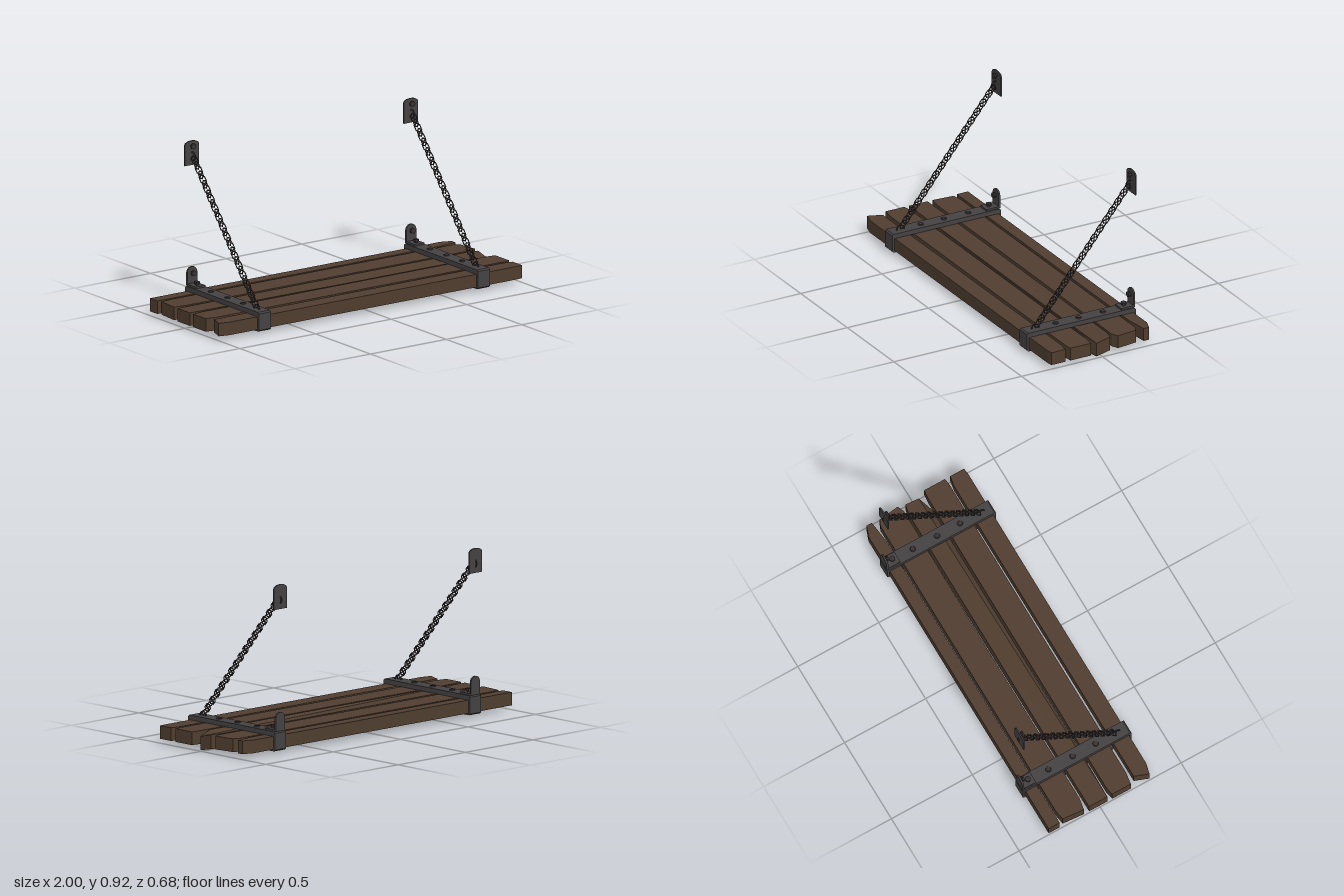
import * as THREE from 'three';

const wood = new THREE.MeshStandardMaterial({ color: 0x4f3d2f, flatShading: true });
const metal = new THREE.MeshStandardMaterial({ color: 0x444142, flatShading: true });
const iron = new THREE.MeshStandardMaterial({ color: 0x3a3335, flatShading: true });

function add(parent, name, geometry, material, x = 0, y = 0, z = 0) {
  const mesh = new THREE.Mesh(geometry, material);
  mesh.name = name;
  mesh.position.set(x, y, z);
  parent.add(mesh);
  return mesh;
}

// Extrudes an [x, z] outline upward from y0 to y1
function slab(outline, y0, y1) {
  const shape = new THREE.Shape(outline.map(([x, z]) => new THREE.Vector2(x, -z)));
  return new THREE.ExtrudeGeometry(shape, { depth: y1 - y0, bevelEnabled: false })
    .rotateX(-Math.PI / 2).translate(0, y0, 0);
}

// Upright plate with an arched top, facing +z
function archPlate(width, y0, ySide, yTop, depth) {
  const h = width / 2, s = new THREE.Shape();
  s.moveTo(-h, y0);
  s.lineTo(h, y0);
  s.lineTo(h, ySide);
  for (let i = 1; i <= 6; i++) {
    const a = (i / 6) * Math.PI;
    s.lineTo(h * Math.cos(a), ySide + (yTop - ySide) * Math.sin(a));
  }
  return new THREE.ExtrudeGeometry(s, { depth, bevelEnabled: false });
}

// Bolt: washer-like shank and wider head, pointing up or toward +z
function bolt(parent, x, y, z, forward) {
  const g = new THREE.Group();
  g.name = 'bolt';
  add(g, 'boltShank', new THREE.CylinderGeometry(0.01, 0.01, 0.01, 8), iron, 0, 0.005, 0);
  add(g, 'boltHead', new THREE.CylinderGeometry(0.016, 0.016, 0.011, 8), iron, 0, 0.0135, 0);
  g.position.set(x, y, z);
  if (forward) g.rotation.x = Math.PI / 2;
  parent.add(g);
}

// Closed band around the planks, with softened corners
function strapGeometry() {
  const s = new THREE.Shape();
  const pts = [[-0.327, 0.015], [0.327, 0.015], [0.335, 0.023], [0.335, 0.114],
    [0.327, 0.122], [-0.327, 0.122], [-0.335, 0.114], [-0.335, 0.023]];
  s.setFromPoints(pts.map(([z, y]) => new THREE.Vector2(-z, y)).reverse());
  const hole = [[-0.322, 0.025], [-0.322, 0.096], [0.322, 0.096], [0.322, 0.025]];
  s.holes.push(new THREE.Path(hole.map(([z, y]) => new THREE.Vector2(-z, y))));
  return new THREE.ExtrudeGeometry(s, { depth: 0.08, bevelEnabled: false })
    .translate(0, 0, -0.04).rotateY(Math.PI / 2);
}

// Chain from the strap up to the wall plate, links turned alternately
function chain(parent) {
  const start = new THREE.Vector3(0, 0.122, 0.262), end = new THREE.Vector3(0, 0.837, -0.32);
  const group = new THREE.Group();
  group.name = 'chain';
  parent.add(group);
  const along = end.clone().sub(start).normalize();
  const side = new THREE.Vector3(1, 0, 0);
  const across = new THREE.Vector3().crossVectors(side, along);
  const flat = new THREE.Matrix4().makeBasis(along, across, side.clone());
  const turned = new THREE.Matrix4().makeBasis(along, side, across.clone().negate());
  const linkA = new THREE.TorusGeometry(0.021, 0.004, 4, 6).scale(1.08, 1, 1);
  const linkB = new THREE.TorusGeometry(0.021, 0.004, 4, 6).scale(1.3, 1, 1);
  const first = new THREE.Vector3(0, 0.17, 0.226), last = new THREE.Vector3(0, 0.795, -0.283);
  for (let i = -1; i <= 29; i++) {
    const p = first.clone().lerp(last, i / 28);
    const isFlat = i % 2 === 0;
    const link = add(group, 'chainLink', isFlat ? linkA : linkB, iron, p.x, p.y, p.z);
    link.quaternion.setFromRotationMatrix(isFlat ? flat : turned);
  }
  for (const p of [start, end]) {
    const ring = add(group, 'anchorRing', new THREE.TorusGeometry(0.023, 0.004, 5, 14), iron, p.x, p.y, p.z);
    ring.rotation.y = Math.PI / 2;
  }
}

function hanger(x) {
  const g = new THREE.Group();
  g.name = 'hanger';
  g.position.x = x;
  add(g, 'strap', strapGeometry(), metal);
  for (const z of [0.137, -0.005, -0.155]) {
    add(g, 'rivet', new THREE.CylinderGeometry(0.014, 0.017, 0.007, 8), iron, 0, 0.1245, z);
  }
  // Rear angle bracket
  add(g, 'bracketFoot', new THREE.BoxGeometry(0.066, 0.01, 0.085), metal, 0, 0.127, -0.2925);
  add(g, 'bracketPlate', archPlate(0.066, 0.122, 0.195, 0.225, 0.01), metal, 0, 0, -0.335);
  bolt(g, 0, 0.132, -0.282, false);
  bolt(g, 0, 0.19, -0.325, true);
  // Wall plate
  add(g, 'wallPlate', archPlate(0.095, 0.787, 0.9, 0.922, 0.008), metal, 0, 0, -0.336);
  bolt(g, 0, 0.893, -0.328, true);
  chain(g);
  return g;
}

export function createModel() {
  const model = new THREE.Group();
  model.name = 'hangingBench';

  // Planks, front to back, with uneven ends as [x, z] outlines
  const outlines = [
    [[-1, 0.305], [-0.94, 0.32], [0.97, 0.32], [1, 0.315], [1, 0.23], [0.94, 0.22], [-0.97, 0.225]],
    [[-1, 0.19], [-0.93, 0.2], [0.96, 0.203], [1, 0.198], [1, 0.07], [0.95, 0.065], [-0.95, 0.065], [-1, 0.075]],
    [[-1, 0.045], [-0.7, 0.05], [0, 0.052], [0.88, 0.052], [0.98, 0.025], [0.98, -0.058], [0.92, -0.07],
      [0, -0.07], [-0.7, -0.07], [-1, -0.068]],
    [[-1, -0.1], [-0.93, -0.088], [0, -0.09], [0.95, -0.083], [0.99, -0.1], [0.975, -0.22], [0.94, -0.235],
      [-0.93, -0.235], [-0.99, -0.225]],
    [[-1, -0.25], [0.85, -0.25], [0.98, -0.265], [0.98, -0.298], [0.92, -0.32], [-1, -0.318]],
  ];
  outlines.forEach((outline, i) => {
    const geometry = slab(outline, 0.024, 0.096);
    if (i === 2) {
      // The middle plank sags below the rest and dips at its cut corner
      const p = geometry.attributes.position;
      for (let k = 0; k < p.count; k++) {
        const x = p.getX(k), z = p.getZ(k);
        if (p.getY(k) < 0.05) {
          p.setY(k, 0.024 - 0.024 * THREE.MathUtils.clamp((x + 0.7) / 0.7, 0, 1) + (x > 0.9 && z < 0 ? 0.018 : 0));
        } else if (x > 0.9 && z > 0) p.setY(k, 0.076);
      }
      geometry.computeVertexNormals();
    }
    add(model, 'plank', geometry, wood);
  });

  for (const x of [-0.715, 0.733]) model.add(hanger(x));
  return model;
}
